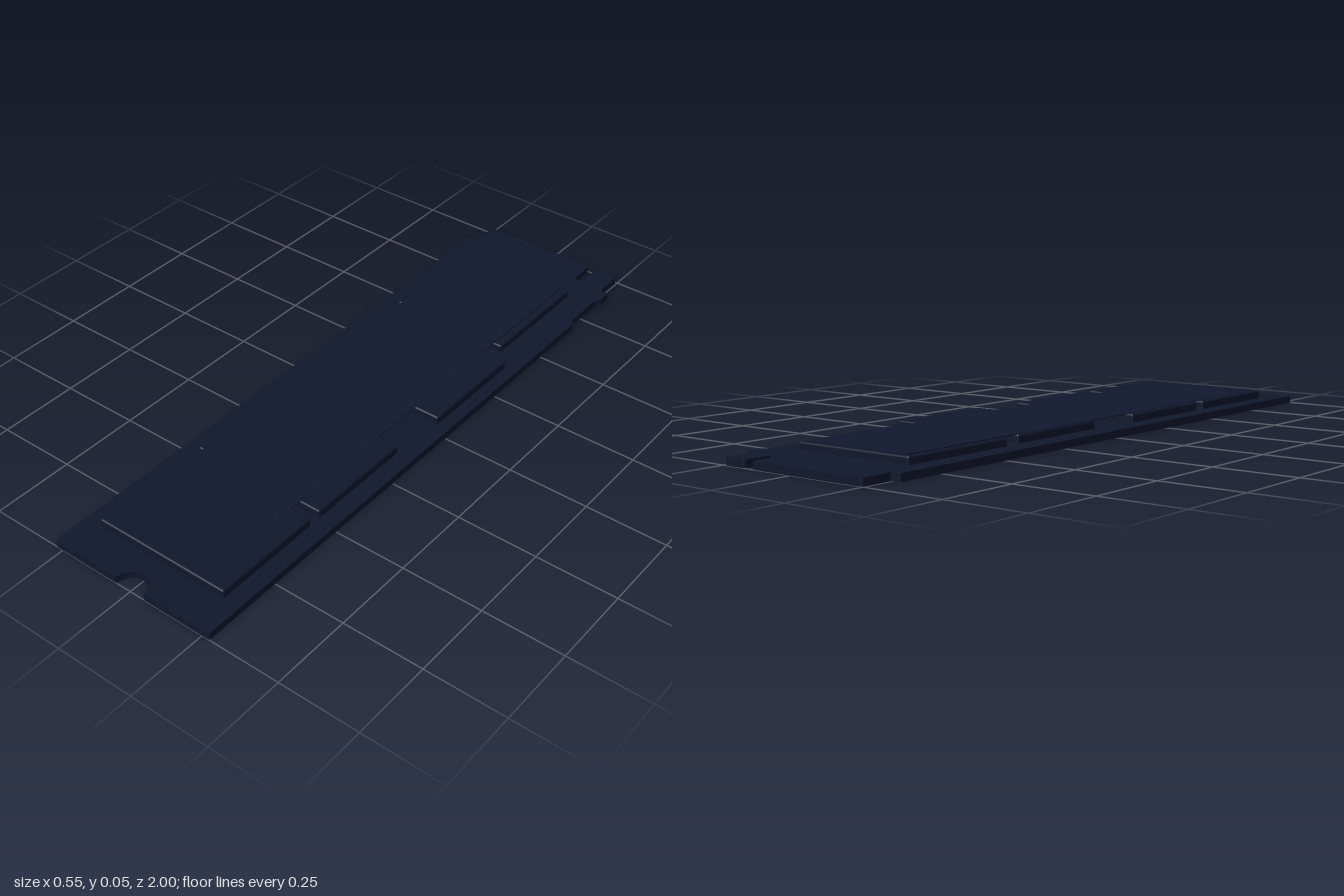
import * as THREE from 'three';
import { RoundedBoxGeometry } from 'three/addons/geometries/RoundedBoxGeometry.js';

const BOARD_H = 0.022;

// Adds straight edges with small rounded corners through a list of [x, z, radius]
function roundedOutline(points) {
  const shape = new THREE.Shape();
  const n = points.length;
  points.forEach(([x, z, r], i) => {
    const p = new THREE.Vector2(x, -z);
    const [ax, az] = points[(i + n - 1) % n];
    const [bx, bz] = points[(i + 1) % n];
    const a = new THREE.Vector2(ax, -az).sub(p).setLength(r).add(p);
    const b = new THREE.Vector2(bx, -bz).sub(p).setLength(r).add(p);
    if (i === 0) shape.moveTo(a.x, a.y);
    else shape.lineTo(a.x, a.y);
    if (r > 0) shape.quadraticCurveTo(p.x, p.y, b.x, b.y);
    // semicircular screw notch in the front edge
    if (i === 0) shape.absarc(0, -1, 0.05, Math.PI, 0, true);
  });
  shape.closePath();
  return shape;
}

export function createModel() {
  const group = new THREE.Group();
  const boardMat = new THREE.MeshStandardMaterial({ color: 0x10172c });
  const chipMat = new THREE.MeshStandardMaterial({ color: 0x10172c });
  const labelMat = new THREE.MeshStandardMaterial({ color: 0x11172f });

  const add = (name, geometry, material, x = 0, y = 0, z = 0) => {
    const mesh = new THREE.Mesh(geometry, material);
    mesh.name = name;
    mesh.position.set(x, y, z);
    group.add(mesh);
  };

  // Circuit board with keyed edge connector at the back, side recess and screw notch
  const outline = roundedOutline([
    [-0.275, 1, 0.008], [0.275, 1, 0.008],
    [0.275, -0.685, 0.008], [0.262, -0.695, 0.004],
    [0.262, -0.845, 0.004], [0.273, -0.855, 0.005],
    [0.273, -0.9, 0.006], [0.245, -0.9, 0.004],
    [0.245, -1, 0.01], [0.17, -1, 0.01],
    [0.17, -0.908, 0.012], [0.14, -0.908, 0.012],
    [0.14, -1, 0.01], [-0.247, -1, 0.01],
    [-0.247, -0.9, 0.004], [-0.275, -0.9, 0.008],
  ]);
  const board = new THREE.ExtrudeGeometry(outline, { depth: BOARD_H, bevelEnabled: false, curveSegments: 16 });
  board.rotateX(-Math.PI / 2);
  add('circuitBoard', board, boardMat);

  // Chips: x from, x to, z from, z to, top height
  const chips = [
    ['controllerChip', -0.215, 0.18, -0.805, -0.42, 0.045],
    ['memoryChipBack', -0.208, 0.235, -0.365, -0.015, 0.047],
    ['memoryChipMiddle', -0.22, 0.221, 0.155, 0.505, 0.047],
    ['memoryChipFront', -0.22, 0.221, 0.538, 0.887, 0.047],
  ];
  for (const [name, x0, x1, z0, z1, top] of chips) {
    const bottom = 0.006; // seated into the board so only the top edges look rounded
    add(name, new RoundedBoxGeometry(x1 - x0, top - bottom, z1 - z0, 3, 0.006), chipMat,
      (x0 + x1) / 2, (top + bottom) / 2, (z0 + z1) / 2);
  }

  // Thin label sheet lying across all the chips
  add('label', new THREE.BoxGeometry(0.355, 0.003, 1.585), labelMat, -0.0225, 0.0465, 0);

  return group;
}
